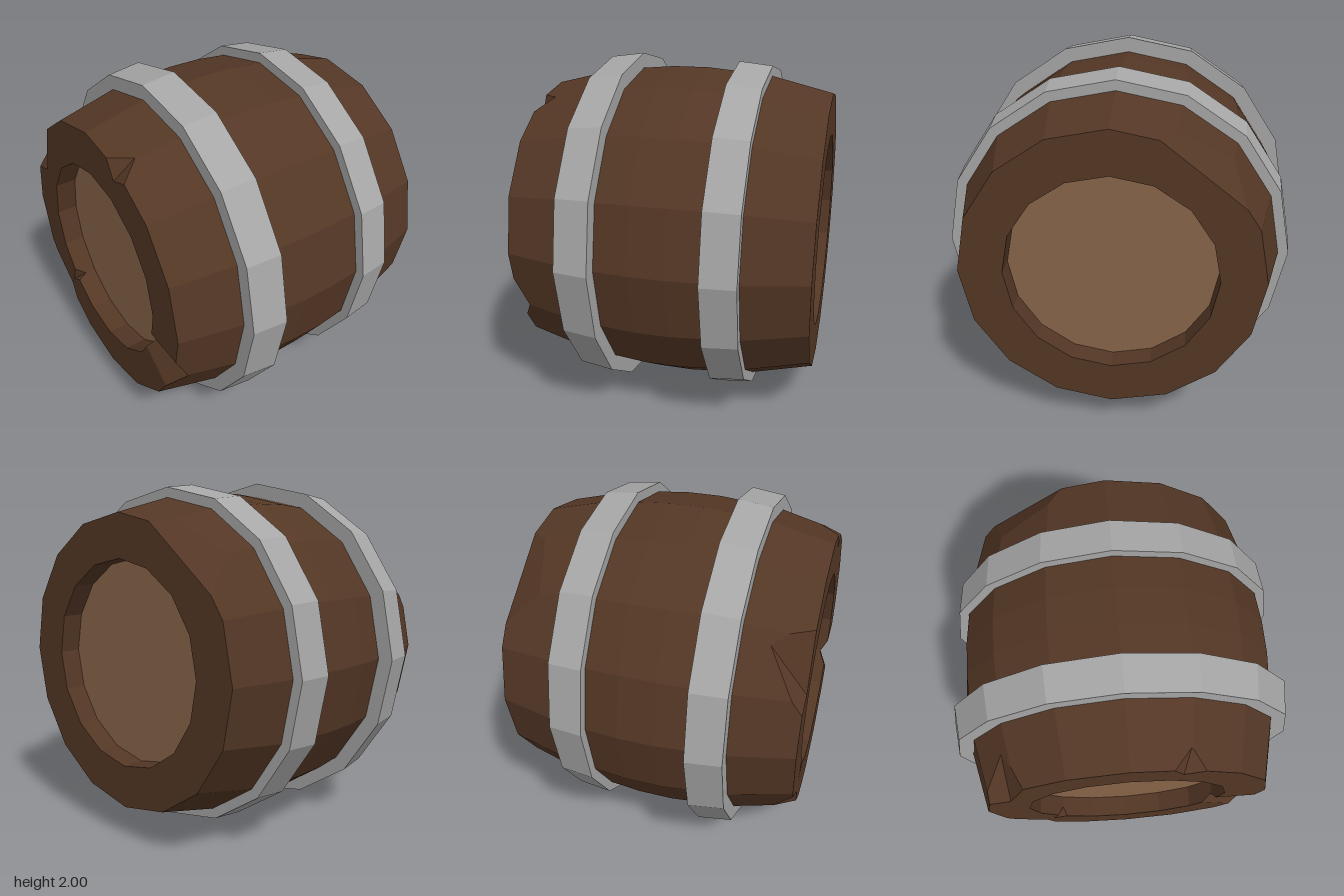
import * as THREE from 'three';

const SIDES = 16, CENTRE = 1, INNER = 0.57;
const V = (x, y, z) => new THREE.Vector3(x, y, z);
const mean = (pts) => pts.reduce((s, p) => s.add(p), V(0, 0, 0)).divideScalar(pts.length);

// barrel profile: [z, radius]
const PROFILE = [[-0.82, 0.81], [-0.45, 0.9], [-0.1, 0.93], [0.1, 0.93], [0.45, 0.9], [0.82, 0.81]];

// chips knocked out of the rims: a point in the missing wood, then three points for each broken face
const CHIPS = [
  // front, top
  { at: [0.31, 1.75, 0.82], faces: [
    [[0.21, 1.78, 0.82], [0.27, 1.66, 0.82], [0.31, 1.78, 0.71]],
    [[0.38, 1.70, 0.82], [0.27, 1.66, 0.82], [0.31, 1.78, 0.71]]] },
  // front, deep notch across the rim
  { at: [0.74, 0.7, 0.82], faces: [
    [[0.54, 0.85, 0.82], [0.77, 0.84, 0.82], [0.77, 0.68, 0.74]],
    [[0.525, 0.78, 0.775], [0.675, 0.55, 0.82], [0.77, 0.68, 0.74]]] },
  // front, upper shoulder
  { at: [-0.72, 1.4, 0.82], faces: [
    [[-0.53, 1.61, 0.82], [-0.64, 1.28, 0.82], [-0.6, 1.575, 0.7]],
    [[-0.64, 1.28, 0.82], [-0.77, 1.235, 0.82], [-0.76, 1.4, 0.7]]] },
  // front, small nick at the inner edge
  { at: [-0.41, 0.6, 0.82], faces: [
    [[-0.47, 0.53, 0.82], [-0.43, 0.64, 0.82], [-0.4, 0.6, 0.76]],
    [[-0.47, 0.53, 0.82], [-0.365, 0.59, 0.82], [-0.4, 0.6, 0.76]]] },
  // front, lower shoulder
  { at: [-0.62, 0.43, 0.82], faces: [
    [[-0.7, 0.62, 0.82], [-0.51, 0.47, 0.82], [-0.6, 0.41, 0.7]],
    [[-0.51, 0.47, 0.82], [-0.47, 0.35, 0.82], [-0.6, 0.41, 0.7]]] },
  // back, large break
  { at: [-0.55, 1.7, -0.82], faces: [
    [[-0.22, 1.78, -0.82], [-0.7, 1.4, -0.82], [-0.6, 1.616, -0.62]]] },
];

// one convex stave, as a list of flat faces; joints between staves are hidden
function stave(i) {
  const a0 = (i / SIDES) * Math.PI * 2, a1 = ((i + 1) / SIDES) * Math.PI * 2;
  const at = (a, r, z) => V(Math.sin(a) * r, CENTRE + Math.cos(a) * r, z);
  const edge = (a) => PROFILE.map(([z, r]) => at(a, r, z));
  const e0 = edge(a0), e1 = edge(a1), n = PROFILE.length - 1;
  const zb = PROFILE[0][0], zf = PROFILE[n][0];
  const b0 = at(a0, INNER, zb), b1 = at(a1, INNER, zb), f0 = at(a0, INNER, zf), f1 = at(a1, INNER, zf);
  const faces = [
    { pts: [b0, b1, f1, f0] },
    { pts: [b0, b1, e1[0], e0[0]] },
    { pts: [f0, f1, e1[n], e0[n]] },
    { pts: [b0, ...e0, f0], hidden: true },
    { pts: [b1, ...e1, f1], hidden: true },
  ];
  for (let k = 0; k < n; k++) faces.push({ pts: [e0[k], e0[k + 1], e1[k + 1], e1[k]] });
  return faces;
}

// keep the part of a convex solid behind the plane and close the cut
function cut(solid, plane) {
  const faces = [], rim = [];
  for (const { pts, hidden } of solid) {
    const kept = [];
    pts.forEach((p, i) => {
      const q = pts[(i + 1) % pts.length];
      const dp = plane.distanceToPoint(p), dq = plane.distanceToPoint(q);
      if (dp <= 0) kept.push(p);
      if (dp * dq < 0) {
        const c = p.clone().lerp(q, dp / (dp - dq));
        kept.push(c);
        rim.push(c);
      }
    });
    if (kept.length > 2) faces.push({ pts: kept, hidden });
  }
  const unique = rim.filter((p, i) => rim.findIndex((q) => q.distanceTo(p) < 1e-6) === i);
  if (unique.length > 2) {
    const c = mean(unique), u = unique[0].clone().sub(c).normalize();
    const w = plane.normal.clone().cross(u);
    const angle = (p) => Math.atan2(p.clone().sub(c).dot(w), p.clone().sub(c).dot(u));
    faces.push({ pts: unique.sort((p, q) => angle(p) - angle(q)) });
  }
  return faces;
}

// take one chip out of all solids near it
function chipOut(solids, { at, faces }) {
  const inside = V(...at);
  const planes = faces.map((f) => {
    const plane = new THREE.Plane().setFromCoplanarPoints(...f.map((p) => V(...p)));
    return plane.distanceToPoint(inside) < 0 ? plane.negate() : plane;
  });
  return solids.flatMap((solid) => {
    const c = mean(solid.flatMap((f) => f.pts));
    if (c.x * inside.x + (c.y - CENTRE) * (inside.y - CENTRE) < 0) return [solid];
    const pieces = [];
    let rest = solid;
    for (const plane of planes) {
      pieces.push(cut(rest, plane));
      rest = cut(rest, plane.clone().negate());
    }
    return rest.length ? pieces.filter((p) => p.length) : [solid];
  });
}

// triangulate the visible faces, each turned away from the middle of its solid
function solidsGeometry(solids) {
  const out = [];
  for (const solid of solids) {
    const centre = mean(solid.flatMap((f) => f.pts));
    for (const { pts, hidden } of solid) {
      if (hidden) continue;
      const away = mean(pts).sub(centre);
      for (let i = 1; i < pts.length - 1; i++) {
        const [a, b, c] = [pts[0], pts[i], pts[i + 1]];
        const n = b.clone().sub(a).cross(c.clone().sub(a));
        for (const p of n.dot(away) > 0 ? [a, b, c] : [a, c, b]) out.push(p.x, p.y, p.z);
      }
    }
  }
  const geo = new THREE.BufferGeometry();
  geo.setAttribute('position', new THREE.Float32BufferAttribute(out, 3));
  geo.computeVertexNormals();
  return geo;
}

export function createModel() {
  const material = (name, color) => {
    const m = new THREE.MeshStandardMaterial({ color, flatShading: true });
    m.name = name;
    return m;
  };
  const wood = material('dark wood', 0x543725);
  const lidWood = material('light wood', 0x886448);
  const iron = material('grey iron', 0xa6a6a6);

  const group = new THREE.Group();
  group.name = 'barrel';
  const add = (name, geo, mat) => {
    const mesh = new THREE.Mesh(geo, mat);
    mesh.name = name;
    group.add(mesh);
    return mesh;
  };

  // staves with chipped rims
  let solids = Array.from({ length: SIDES }, (_, i) => stave(i));
  for (const chip of CHIPS) solids = chipOut(solids, chip);
  add('staves', solidsGeometry(solids), wood);

  // recessed lids
  for (const [name, z] of [['frontLid', 0.68], ['backLid', -0.68]]) {
    const geo = new THREE.CylinderGeometry(INNER + 0.01, INNER + 0.01, 0.04, SIDES).rotateX(Math.PI / 2);
    add(name, geo, lidWood).position.set(0, CENTRE, z);
  }

  // iron hoops: [name, back z, back radius, front z, front radius]
  const hoops = [['frontHoop', 0.285, 1.0, 0.478, 0.975], ['backHoop', -0.475, 0.95, -0.285, 0.97]];
  for (const [name, zb, rb, zf, rf] of hoops) {
    const section = [[0.86, zb], [rb, zb], [rf, zf], [0.86, zf]].map(([r, z]) => new THREE.Vector2(r, z));
    const geo = new THREE.LatheGeometry(section, SIDES).rotateX(Math.PI / 2);
    add(name, geo, iron).position.y = CENTRE;
  }
  return group;
}
